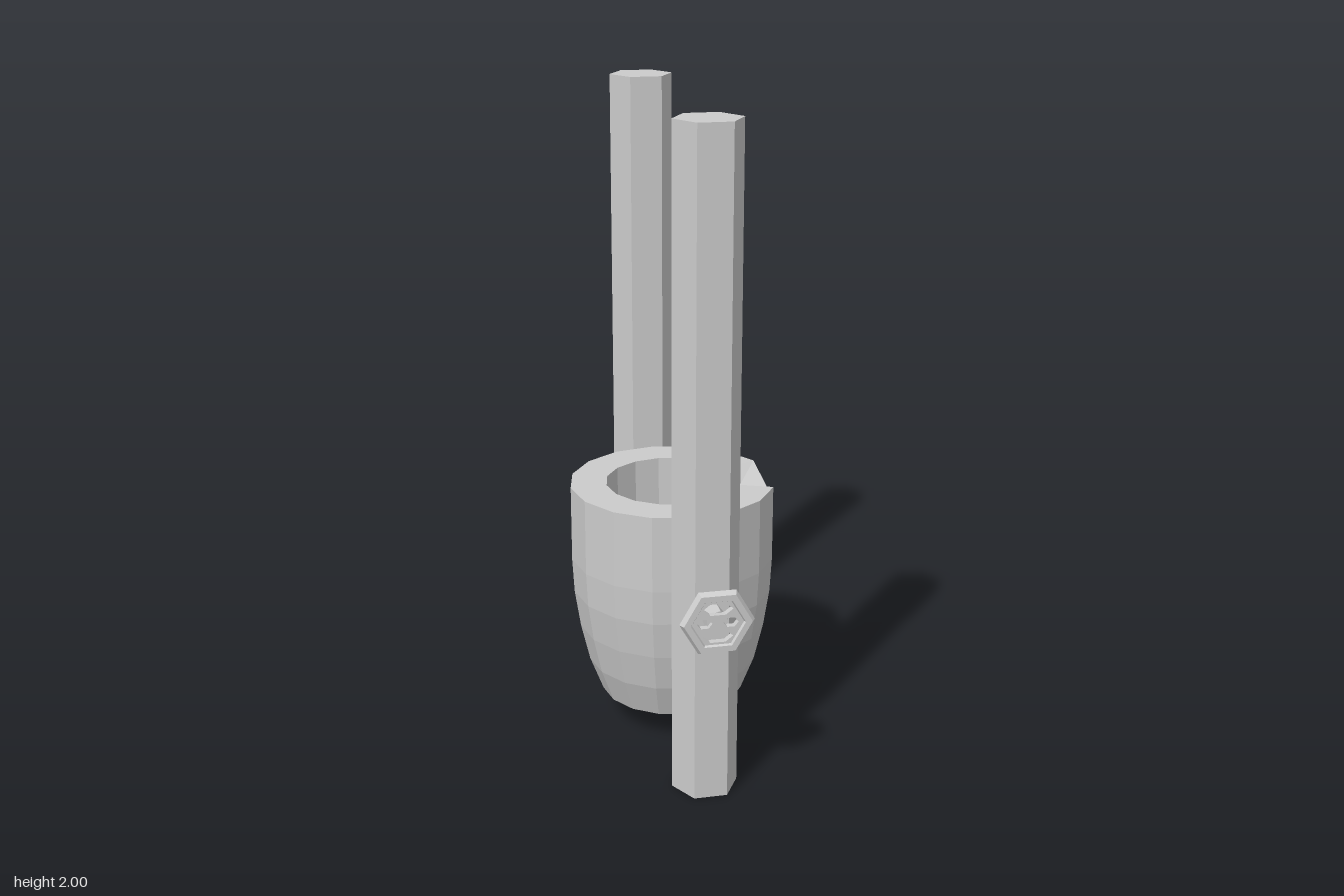
import * as THREE from 'three';

const material = new THREE.MeshStandardMaterial({ color: 0xcccccc, flatShading: true });
const CUP_Z = -0.04;
const AXLE_Y = 0.6;

function add(parent, name, geometry, x = 0, y = 0, z = 0) {
  const mesh = new THREE.Mesh(geometry, material);
  mesh.name = name;
  mesh.position.set(x, y, z);
  parent.add(mesh);
  return mesh;
}

// Thick-walled cup; the rim corner at +x is pulled down to form a pouring notch
function cupGeometry() {
  const profile = [
    [0, 0.1], [0.226, 0.1], [0.268, 0.21], [0.296, 0.33], [0.314, 0.45], [0.32, 0.56],
    [0.32, 0.8], [0.207, 0.8], [0.207, 0.22], [0, 0.22],
  ].map(([r, y]) => new THREE.Vector2(r, y));
  const geometry = new THREE.LatheGeometry(profile, 16);
  const p = geometry.attributes.position;
  for (let i = 0; i < p.count; i++) {
    if (p.getY(i) > 0.79 && p.getX(i) > 0 && Math.abs(p.getZ(i)) < 0.01) {
      p.setY(i, p.getX(i) > 0.25 ? 0.73 : 0.742);
    }
  }
  return geometry;
}

// Six-sided hole with its points at left and right
function hexHole(cx, cy, rx, ry) {
  const points = [];
  for (let i = 0; i < 6; i++) {
    const a = (i * Math.PI) / 3;
    points.push(new THREE.Vector2(cx + rx * Math.cos(a), cy + ry * Math.sin(a)));
  }
  return points;
}

// Hexagonal hand wheel: faceted ring and a pierced web
function createWheel() {
  const wheel = new THREE.Group();
  wheel.name = 'handWheel';
  add(wheel, 'wheelRing', new THREE.TorusGeometry(0.09, 0.02, 6, 6));
  const web = new THREE.Shape(hexHole(0, 0, 0.085, 0.085));
  for (const s of [-1, 1]) {
    web.holes.push(new THREE.Path(hexHole(0, s * 0.042, 0.045, 0.02)));
    web.holes.push(new THREE.Path(hexHole(s * 0.038, 0, 0.022, 0.016)));
  }
  const webGeometry = new THREE.ExtrudeGeometry(web, { depth: 0.02, bevelEnabled: false });
  add(wheel, 'wheelWeb', webGeometry, 0, 0, -0.01);
  return wheel;
}

// Five-sided axle running along z
function addAxle(parent, name, z0, z1) {
  const geometry = new THREE.CylinderGeometry(0.035, 0.035, z1 - z0, 5, 1, false, Math.PI / 2);
  geometry.rotateX(Math.PI / 2);
  add(parent, name, geometry, 0, AXLE_Y, (z0 + z1) / 2);
}

export function createModel() {
  const model = new THREE.Group();
  model.name = 'tippingCrucible';

  add(model, 'cup', cupGeometry(), 0, 0, CUP_Z);

  // Hexagonal posts, points at left and right
  for (const [name, z] of [['frontPost', 0.431], ['backPost', -0.513]]) {
    const post = new THREE.CylinderGeometry(0.1, 0.1, 2, 6);
    post.rotateY(Math.PI / 6);
    add(model, name, post, 0, 1, z);
  }

  // Square mounting plates, bedded slightly into the cup wall
  for (const [name, s] of [['frontPlate', 1], ['backPlate', -1]]) {
    add(model, name, new THREE.BoxGeometry(0.1, 0.1, 0.04), 0, AXLE_Y, CUP_Z + s * 0.325);
  }

  addAxle(model, 'frontAxle', 0.29, 0.575);
  addAxle(model, 'backAxle', -0.5, -0.375);

  const wheel = createWheel();
  wheel.position.set(0, AXLE_Y + 0.003, 0.58);
  model.add(wheel);

  return model;
}
